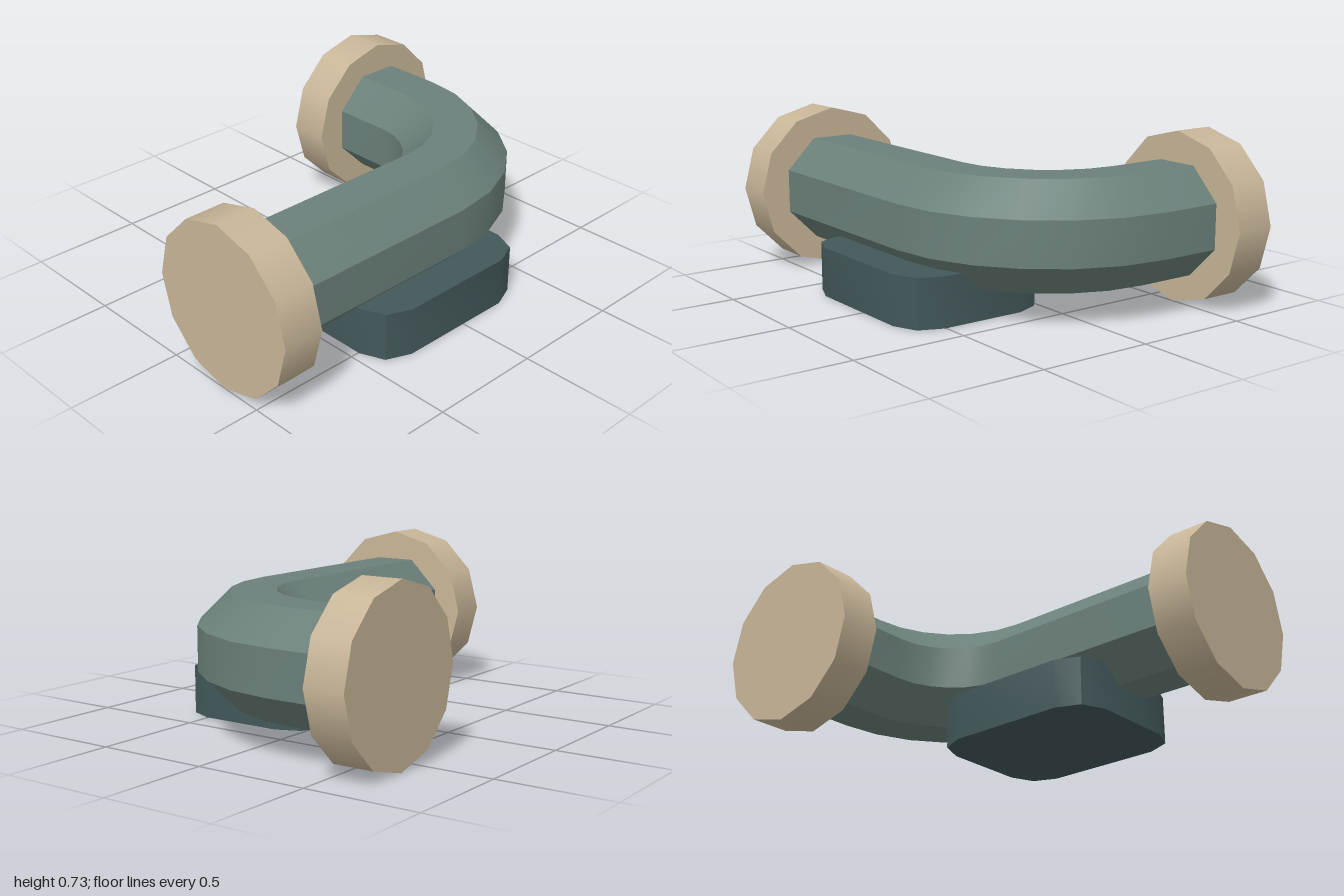
import * as THREE from 'three';
import { toCreasedNormals } from 'three/addons/utils/BufferGeometryUtils.js';

const CREASE = THREE.MathUtils.degToRad(37);
const AXIS_Y = 0.367, LEG_Z = 0.313, LEG_X = 0.633;

// Octagonal tube: straight leg along x, a 90 degree bend, straight leg along -z
function pipeGeometry() {
  const bendR = 0.54, radius = 0.252, sides = 8, bendSteps = 6;
  const stations = [{ x: -0.85, z: LEG_Z, a: 0 }];
  for (let i = 0; i <= bendSteps; i++) {
    const a = (i / bendSteps) * Math.PI / 2;
    stations.push({
      x: LEG_X - bendR + bendR * Math.sin(a),
      z: LEG_Z - bendR + bendR * Math.cos(a),
      a,
    });
  }
  stations.push({ x: LEG_X, z: -0.53, a: Math.PI / 2 });

  const positions = [], index = [];
  for (const { x, z, a } of stations) {
    for (let k = 0; k < sides; k++) {
      const t = ((k + 0.5) / sides) * Math.PI * 2;
      const out = radius * Math.cos(t);
      positions.push(x + out * Math.sin(a), AXIS_Y + radius * Math.sin(t), z + out * Math.cos(a));
    }
  }
  for (let i = 0; i < stations.length - 1; i++) {
    for (let k = 0; k < sides; k++) {
      const a = i * sides + k, b = i * sides + (k + 1) % sides;
      const c = b + sides, d = a + sides;
      index.push(a, d, c, a, c, b);
    }
  }
  const geo = new THREE.BufferGeometry();
  geo.setAttribute('position', new THREE.Float32BufferAttribute(positions, 3));
  geo.setIndex(index);
  return toCreasedNormals(geo, CREASE);
}

// Block with two-facet rounded corners, standing on the ground
function baseGeometry(w, d, h, r) {
  const points = [];
  const corners = [[1, 1], [-1, 1], [-1, -1], [1, -1]];
  corners.forEach(([sx, sy], c) => {
    for (let j = 0; j <= 2; j++) {
      const a = (c + j / 2) * Math.PI / 2;
      points.push(new THREE.Vector2(
        sx * (w / 2 - r) + r * Math.cos(a),
        sy * (d / 2 - r) + r * Math.sin(a)));
    }
  });
  const geo = new THREE.ExtrudeGeometry(new THREE.Shape(points), { depth: h, bevelEnabled: false });
  geo.rotateX(-Math.PI / 2);
  return toCreasedNormals(geo, CREASE);
}

export function createModel() {
  const model = new THREE.Group();
  model.name = 'pipeElbow';

  const pipeMat = new THREE.MeshStandardMaterial({ color: 0x6b807a });
  pipeMat.name = 'greyGreen';
  const flangeMat = new THREE.MeshStandardMaterial({ color: 0xc8b698 });
  flangeMat.name = 'tan';
  const baseMat = new THREE.MeshStandardMaterial({ color: 0x43585a });
  baseMat.name = 'darkTeal';

  const add = (name, geo, mat, x = 0, y = 0, z = 0) => {
    const mesh = new THREE.Mesh(geo, mat);
    mesh.name = name;
    mesh.position.set(x, y, z);
    model.add(mesh);
    return mesh;
  };

  add('pipe', pipeGeometry(), pipeMat);

  // Twelve-sided end flanges
  const flange = new THREE.CylinderGeometry(0.367, 0.367, 0.18, 12);
  add('sideFlange', flange, flangeMat, -0.91, AXIS_Y, LEG_Z).rotation.z = Math.PI / 2;
  add('backFlange', flange, flangeMat, LEG_X, AXIS_Y, -0.59).rotation.x = Math.PI / 2;

  // Foot under the straight leg
  add('base', baseGeometry(0.84, 0.68, 0.215, 0.15), baseMat, -0.04, 0, LEG_Z + 0.002);

  return model;
}
